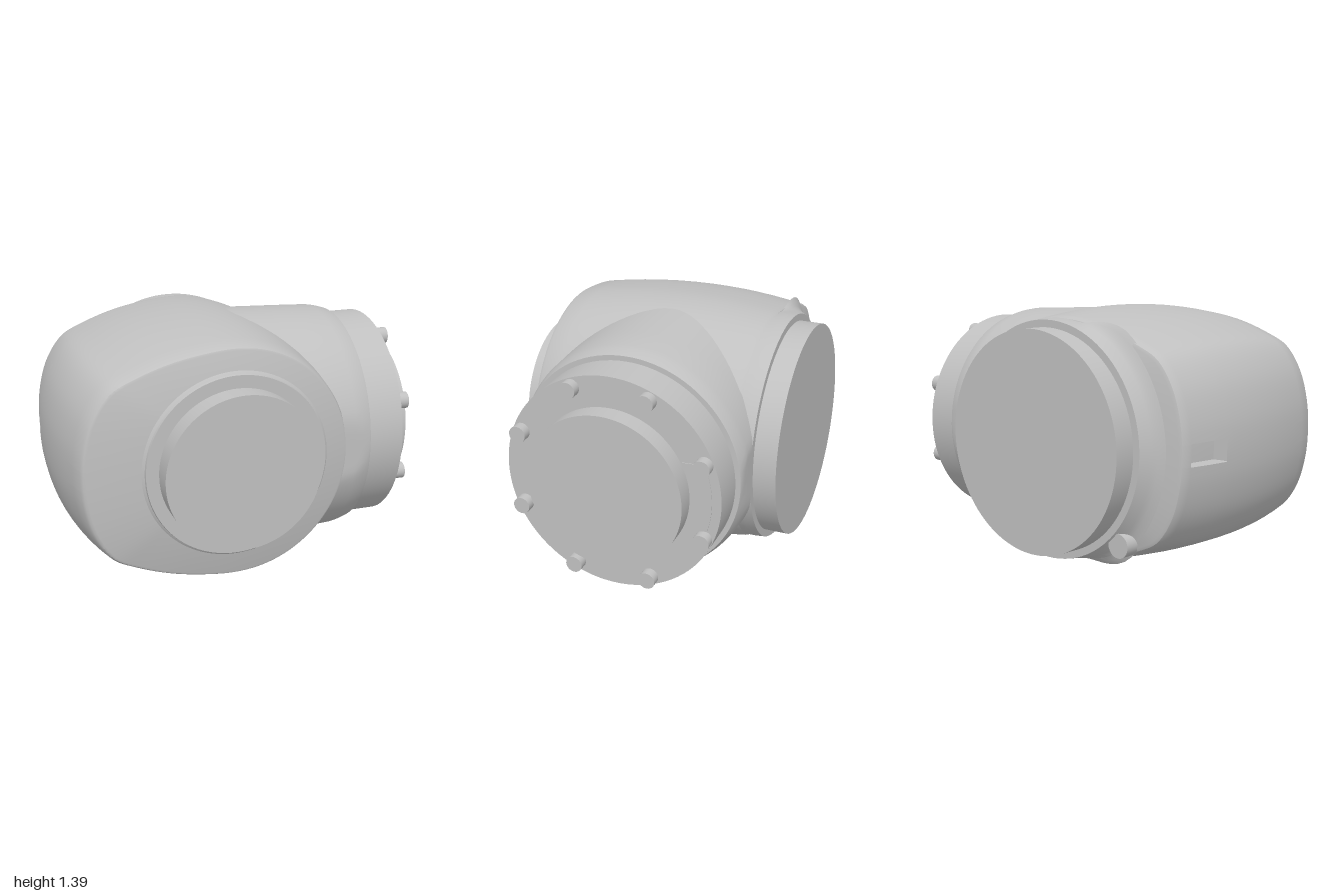
import * as THREE from 'three';
import { toCreasedNormals } from 'three/addons/utils/BufferGeometryUtils.js';

const CX = -0.1, CY = 0.695, NZ = -0.018; // joint axis x / y, and neck axis z

const smooth = THREE.MathUtils.smoothstep;

// Barrel-shaped housing lofted from front to back, with a slot sunk in its side
function housingGeometry() {
  const half = [[-0.9, 0], [-0.885, 0.18], [-0.83, 0.36], [-0.73, 0.5], [-0.6, 0.568], [-0.4, 0.638], [-0.2, 0.678]];
  for (let k = 0; k <= 6; k++) {
    const a = Math.PI / 2 * (1 - k / 6);
    half.push([0.695 * Math.cos(a), 0.695 * Math.sin(a)]);
  }
  const lower = half.slice(1, -1).reverse().map(([x, y]) => [x, -y]);
  const ctrl = [...half, ...lower].map(([x, y]) => new THREE.Vector3(x, y, 0));
  const curve = new THREE.CatmullRomCurve3(ctrl, true, 'centripetal');
  const n = ctrl.length, slot = 0.32 / n;
  const ts = [-slot - 0.02 / n, -slot, 0, slot, slot + 0.02 / n];
  for (let i = 3; i <= n * 5 - 3; i++) ts.push(i / (n * 5));

  // rows: [z, scale factor]
  const rows = [[0.622, 0], [0.622, 0.975], [0.617, 0.99], [0.6, 1]];
  for (const z of [0.5, 0.4, 0.3, 0.2, 0.1, 0, -0.1, -0.2, -0.255, -0.26, -0.38, -0.5, -0.505, -0.535]) rows.push([z, 1]);
  rows.push([-0.555, 0.99], [-0.562, 0.97], [-0.562, 0]);

  const pos = [], idx = [], m = ts.length;
  for (const [z, f] of rows) {
    const s = f * (1 - 0.08 * (z / 0.62) ** 2);
    for (const t of ts) {
      const p = curve.getPoint(t);
      const sunk = Math.abs(t) <= slot && z <= -0.26 && z >= -0.5;
      pos.push(CX + p.x * s + (sunk ? 0.08 : 0), CY + p.y * s, z);
    }
  }
  for (let r = 0; r < rows.length - 1; r++) {
    for (let i = 0; i < m; i++) {
      const a = r * m + i, b = r * m + (i + 1) % m;
      idx.push(a, b, a + m, b, b + m, a + m);
    }
  }
  const g = new THREE.BufferGeometry();
  g.setAttribute('position', new THREE.Float32BufferAttribute(pos, 3));
  g.setIndex(idx);
  return toCreasedNormals(g, 0.6);
}

// Turned part: profile of [radius, height], turned to point along an axis
function turned(profile, axis, reshape) {
  const g = new THREE.LatheGeometry(profile.map(([r, h]) => new THREE.Vector2(r, h)), 96);
  if (axis === 'x') g.rotateZ(-Math.PI / 2).translate(0, CY, NZ);
  else g.rotateX(axis === 'front' ? Math.PI / 2 : -Math.PI / 2).translate(CX, CY, 0);
  if (reshape) {
    const p = g.attributes.position, v = new THREE.Vector3();
    for (let i = 0; i < p.count; i++) {
      reshape(v.fromBufferAttribute(p, i));
      p.setXYZ(i, v.x, v.y, v.z);
    }
  }
  return toCreasedNormals(g, 0.5);
}

const disc = (r, h0, h1) => [[r, h0], [r, h1], [0, h1]];

export function createModel() {
  const model = new THREE.Group();
  model.name = 'rotaryJoint';
  const grey = new THREE.MeshStandardMaterial({ color: 0xc0c0c0 });
  grey.name = 'grey metal';
  const add = (name, geometry) => {
    const mesh = new THREE.Mesh(geometry, grey);
    mesh.name = name;
    model.add(mesh);
    return mesh;
  };

  add('housing', housingGeometry());

  // Side neck, flattened where it meets the front and back planes
  add('neck', turned(
    [[0.678, -0.05], [0.674, 0.08], [0.667, 0.25], [0.66, 0.42], [0.652, 0.59], [0.645, 0.63], [0.632, 0.675], [0.628, 0.685], [0, 0.685]],
    'x', v => { v.z = THREE.MathUtils.clamp(v.z, -0.65, 0.618); }));
  add('neckFlange', turned(disc(0.6, 0.66, 0.893), 'x'));
  add('neckCap', turned(disc(0.43, 0.88, 1), 'x'));

  // Ring of bolts on the flange
  for (let k = 0; k < 8; k++) {
    const a = (k + 0.5) * Math.PI / 4;
    const bolt = add('flangeBolt', new THREE.CylinderGeometry(0.046, 0.046, 0.075, 24));
    bolt.rotation.z = -Math.PI / 2;
    bolt.position.set(0.909, CY + 0.55 * Math.sin(a), NZ + 0.55 * Math.cos(a));
  }

  // Thin curved pad between two bolts
  const sector = new THREE.Shape();
  sector.absarc(0, 0, 0.55, -0.39, 0.39, false);
  sector.absarc(0, 0, 0.44, 0.48, -0.48, true);
  const pad = add('flangePad', new THREE.ExtrudeGeometry(sector, { depth: 0.004, bevelEnabled: false, curveSegments: 24 }));
  pad.rotation.y = Math.PI / 2;
  pad.position.set(0.893, CY, NZ);

  // Front ring and cap
  add('frontRing', turned([[0.53, 0.61], [0.515, 0.624], [0.503, 0.632], [0.5, 0.647], [0, 0.647]], 'front'));
  add('frontCap', turned(disc(0.43, 0.63, 0.77), 'front'));

  // Back collar: its foot flares only over the wide side of the housing
  add('backCollar', turned(
    [[0.76, 0.55], [0.73, 0.566], [0.7, 0.577], [0.675, 0.6], [0.64, 0.65], [0, 0.65]],
    'back', v => {
      const dx = v.x - CX, dy = v.y - CY, r = Math.hypot(dx, dy);
      if (r <= 0.645) return;
      const k = (0.645 + (r - 0.645) * smooth(-dx / r, 0.2, 0.65)) / r;
      v.x = CX + dx * k;
      v.y = CY + dy * k;
    }));
  add('backDisc', turned(disc(0.6, 0.64, 0.775), 'back'));

  // Small stop peg beside the collar
  const peg = add('stopPeg', new THREE.CylinderGeometry(0.065, 0.065, 0.13, 24));
  peg.rotation.x = Math.PI / 2;
  peg.position.set(-0.59, 0.2, -0.575);

  return model;
}
